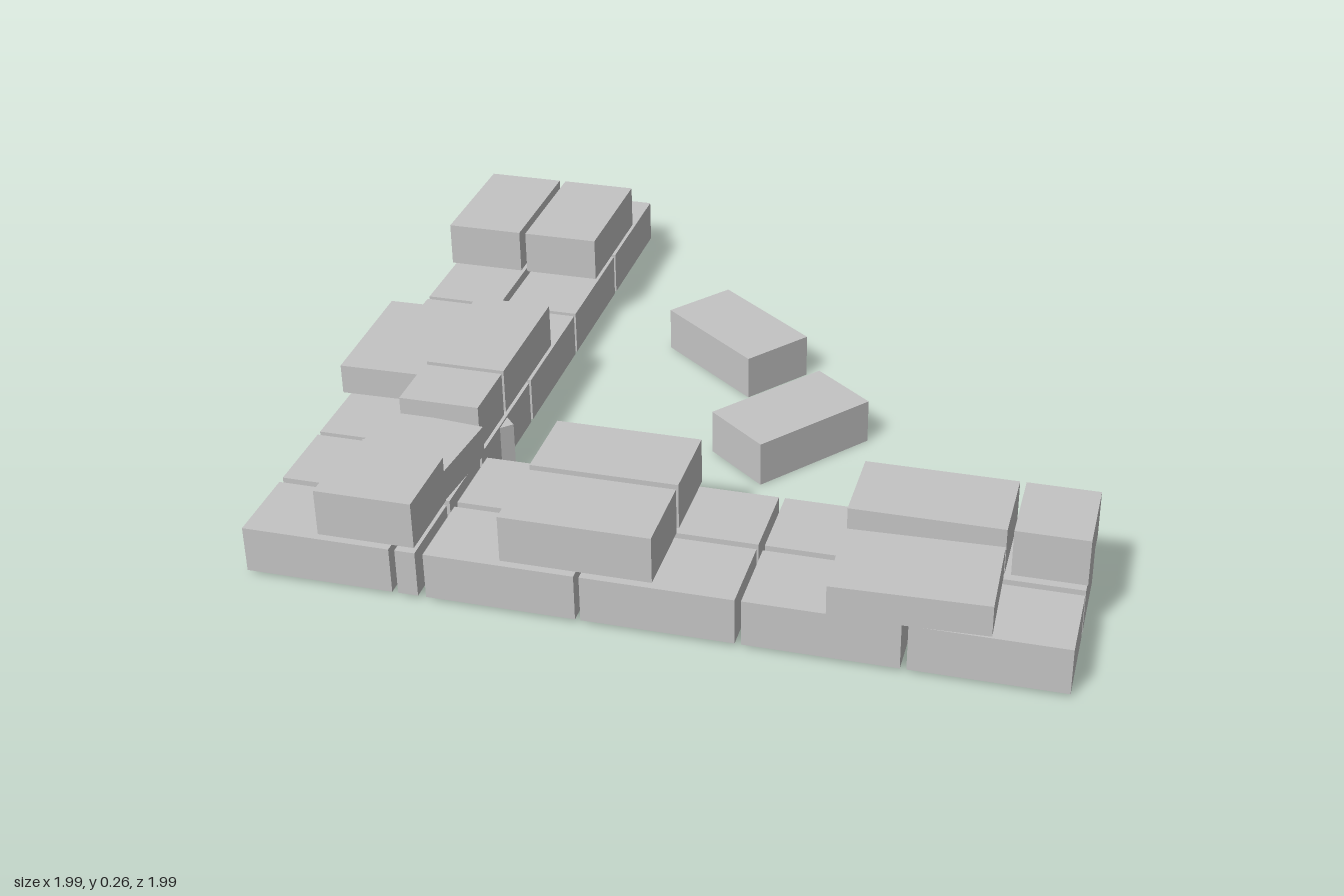
import * as THREE from 'three';

export function createModel() {
  const model = new THREE.Group();
  model.name = 'ruinedBrickWall';
  const brickGrey = new THREE.MeshStandardMaterial({ color: 0xc4c4c4 });
  brickGrey.name = 'brickGrey';

  // One brick: centre, size on plan, bottom, height and turn about y
  function brick(name, x, z, length, depth, y, height, turn = 0) {
    const mesh = new THREE.Mesh(new THREE.BoxGeometry(length, height, depth), brickGrey);
    mesh.name = name;
    mesh.position.set(x, y + height / 2, z);
    mesh.rotation.y = turn;
    model.add(mesh);
  }

  // Brick given by its extents on plan
  function span(name, [x0, x1], [z0, z1], y, height = 0.12) {
    brick(name, (x0 + x1) / 2, (z0 + z1) / 2, x1 - x0, z1 - z0, y, height);
  }

  const low = 0.01, high = 0.145;
  const outerX = [-0.975, -0.765], innerX = [-0.747, -0.54];
  const backZ = [0.53, 0.74], frontZ = [0.76, 0.97];

  // Bottom course of the side arm
  for (const z of [[-1, -0.63], [-0.615, -0.25], [-0.235, 0.135], [0.15, 0.515]]) {
    span('sideOuterBaseBrick', outerX, z, low);
    span('sideInnerBaseBrick', innerX, z, low);
  }

  // Bottom course of the front arm, with the corner bricks and filler pieces
  for (const x of [[-0.975, -0.605], [-0.59, -0.54], [-0.52, -0.153], [-0.14, 0.228], [0.243, 0.61], [0.625, 0.992]]) {
    span('frontOuterBaseBrick', x, frontZ, low);
    span('frontInnerBaseBrick', x, backZ, low);
  }

  // Upper course
  span('sideOuterUpperBrick', outerX, [-0.81, -0.44], high);
  span('sideInnerUpperBrick', innerX, [-0.81, -0.44], high);
  span('sideMiddleUpperBrick', innerX, [-0.035, 0.33], high);
  span('sideHalfBrick', innerX, [0.345, 0.52], high);
  span('cornerHalfBrick', [-0.78, -0.54], frontZ, high);
  span('frontOuterUpperBrick', [-0.33, 0.035], frontZ, high);
  span('frontInnerUpperBrick', [-0.33, 0.035], backZ, high);
  span('frontEndUpperBrick', [0.437, 0.805], backZ, high);
  span('frontEndHalfBrick', [0.82, 0.995], backZ, high);

  // Thinner, slightly shifted bricks
  brick('sideThinBrick', -0.873, 0.143, 0.24, 0.37, 0.14, 0.08, 0.02);
  brick('cornerThinBrick', -0.66, 0.638, 0.25, 0.235, 0.14, 0.08, -0.09);
  brick('frontThinBrick', 0.623, 0.867, 0.37, 0.235, 0.14, 0.08, 0.035);

  // Fallen bricks, the last one wedged under the corner
  brick('fallenBrickBack', -0.09, -0.325, 0.357, 0.205, 0, 0.12, -0.666);
  brick('fallenBrickMiddle', 0.155, 0.085, 0.357, 0.205, 0, 0.12, 0.896);
  brick('wedgedBrick', -0.717, 0.403, 0.365, 0.21, 0, 0.125, 0.76);

  return model;
}
